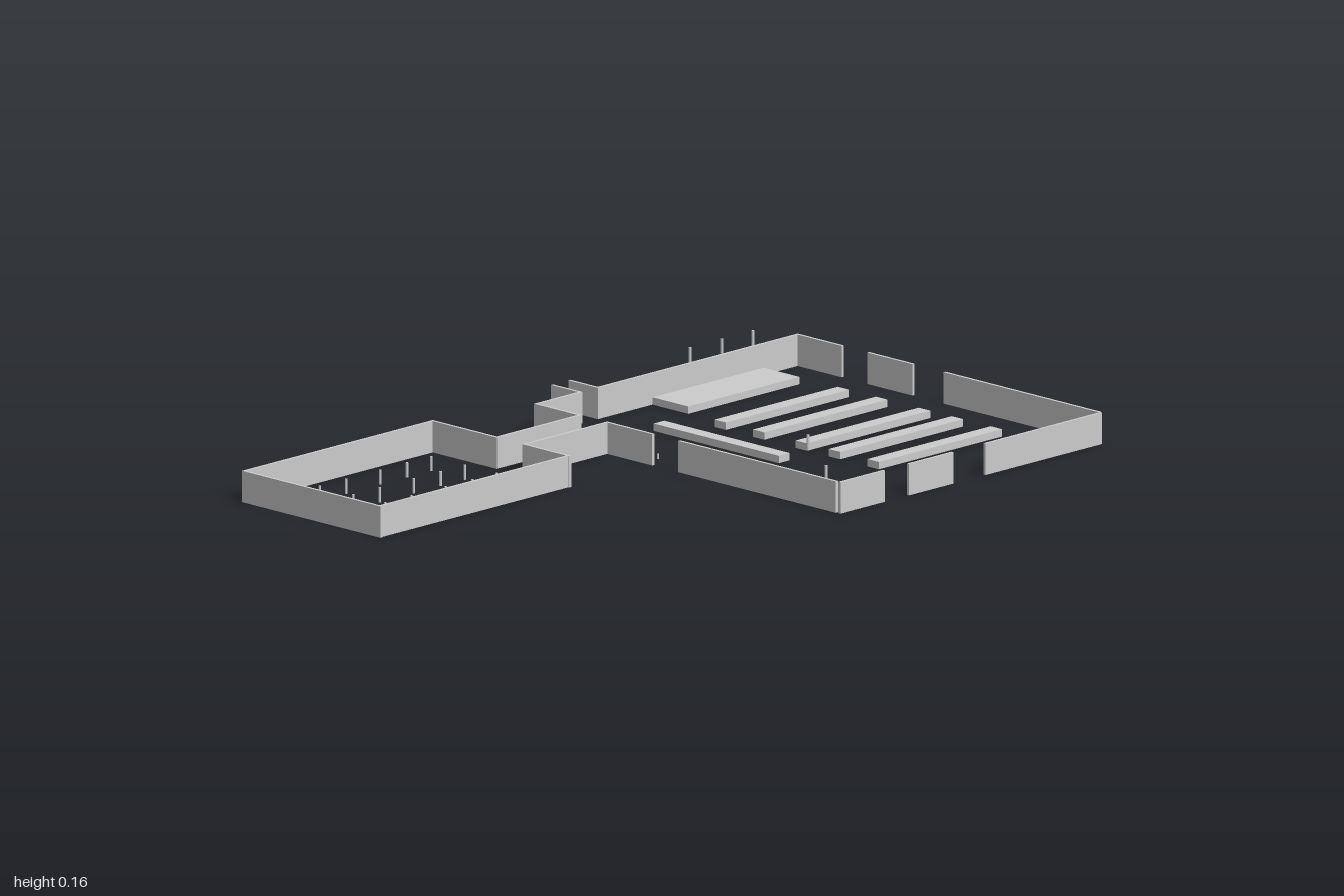
import * as THREE from 'three';

const MAT = new THREE.MeshStandardMaterial({ color: 0xcccccc });
const WALL_H = 0.085, T = 0.008, LOW_H = 0.02;

// Box standing on the ground, given by its extents in plan
function block(name, x0, x1, z0, z1, h) {
  const m = new THREE.Mesh(new THREE.BoxGeometry(x1 - x0, h, z1 - z0), MAT);
  m.position.set((x0 + x1) / 2, h / 2, (z0 + z1) / 2);
  m.name = name;
  return m;
}

// Thin upright post
function post(name, x, z, r, y0, y1) {
  const m = new THREE.Mesh(new THREE.CylinderGeometry(r, r, y1 - y0, 12), MAT);
  m.position.set(x, (y0 + y1) / 2, z);
  m.name = name;
  return m;
}

function section(parent, name) {
  const g = new THREE.Group();
  g.name = name;
  parent.add(g);
  return g;
}

export function createModel() {
  const model = new THREE.Group();
  model.name = 'floorPlan';

  // Walls running along x: [z, x0, x1]
  const walls = section(model, 'walls');
  [
    // hall back, with two door gaps
    [-0.996, -0.514, -0.345], [-0.996, -0.25, -0.085], [-0.996, 0.03, 0.6],
    // side entrance
    [-0.25, -0.614, -0.506], [-0.185, -0.614, -0.506],
    // hall front
    [-0.02, -0.514, -0.347], [-0.02, -0.252, -0.08], [-0.02, 0.015, 0.594],
    // front room
    [0.29, -0.589, -0.347], [0.29, -0.252, -0.08], [0.994, -0.589, -0.08],
  ].forEach(([z, x0, x1]) => walls.add(block('wallAcross', x0, x1, z - T / 2, z + T / 2, WALL_H)));

  // Walls running along z: [x, z0, z1]
  [
    [-0.51, -1, -0.25], [-0.51, -0.185, -0.02],
    [0.605, -0.995, -0.56], [0.605, -0.44, -0.275], [0.605, -0.185, -0.018],
    // corridor
    [-0.35, -0.02, 0.29], [-0.249, -0.02, 0.29],
    // front room
    [-0.585, 0.29, 0.994], [-0.087, 0.29, 0.994],
  ].forEach(([x, z0, z1]) => walls.add(block('wallAlong', x - T / 2, x + T / 2, z0, z1, WALL_H)));

  // Low benches, counter and platforms of the hall
  const hall = section(model, 'hallFurniture');
  for (const x of [-0.213, -0.072, 0.085, 0.206, 0.349])
    hall.add(block('bench', x - 0.021, x + 0.021, -0.865, -0.405, LOW_H));
  hall.add(block('counter', -0.32, 0.14, -0.305, -0.265, LOW_H));
  hall.add(block('sidePlatform', -0.51, -0.375, -0.865, -0.45, LOW_H));
  hall.add(block('cornerPlatform', 0.29, 0.498, -0.17, 0.97 - 1, LOW_H));

  // Raised posts above the platforms, one standing post, small floor pegs
  const posts = section(model, 'hallPosts');
  for (const z of [-0.755, -0.64, -0.52])
    posts.add(post('raisedPost', -0.437, z, 0.004, 0.115, 0.155));
  posts.add(post('raisedPost', 0.402, -0.108, 0.004, 0.115, 0.157));
  posts.add(post('standingPost', 0.338, -0.24, 0.004, 0, 0.037));
  for (const x of [-0.445, -0.117, 0.068])
    posts.add(post('floorPeg', x, -0.075, 0.0025, 0, 0.014));

  // Grid of posts in the front room
  const room = section(model, 'roomPosts');
  for (const x of [-0.455, -0.332, -0.215])
    for (const z of [0.428, 0.518, 0.618, 0.745, 0.843])
      room.add(post('roomPost', x, z, 0.0035, 0, 0.04));

  return model;
}
